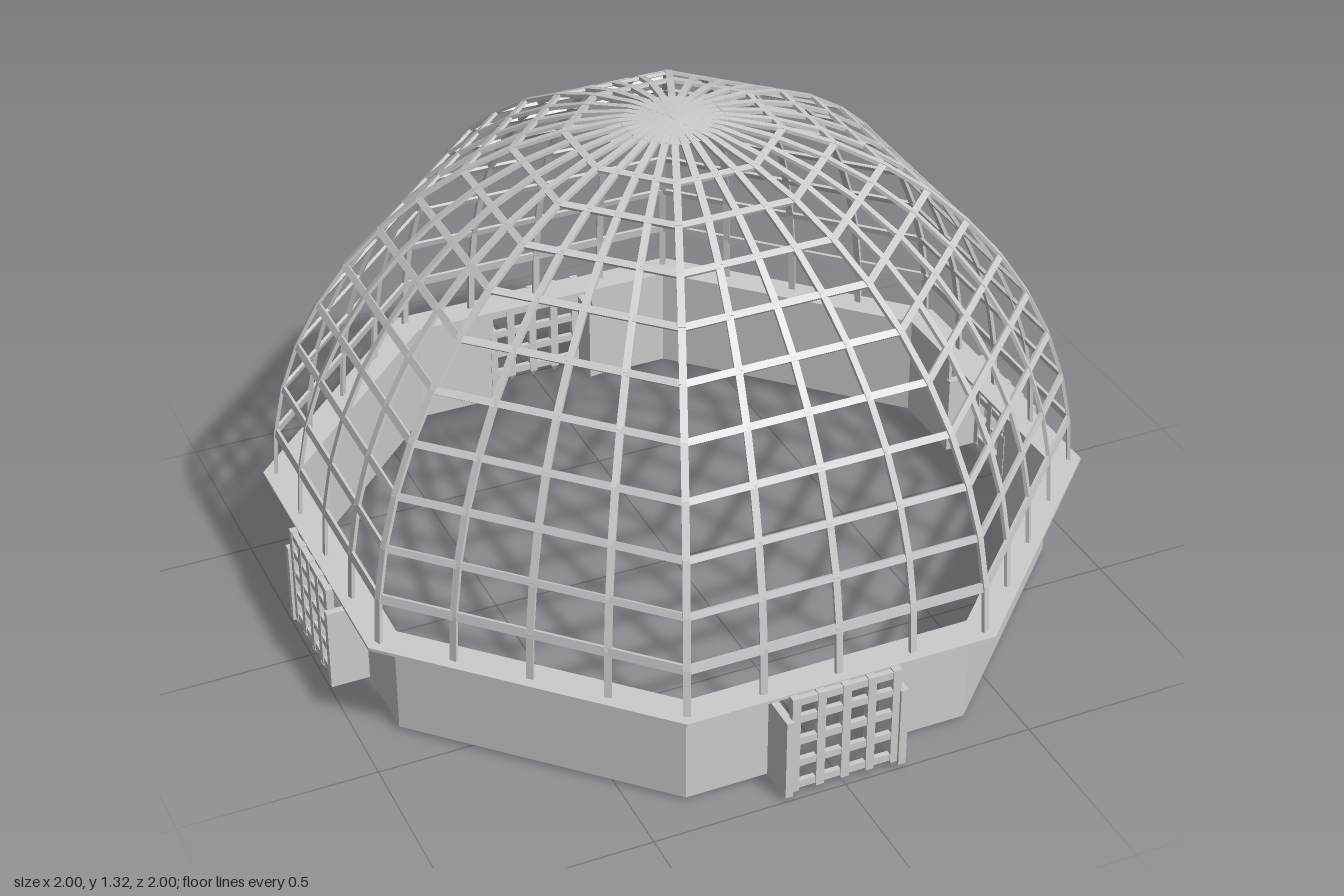
import * as THREE from 'three';
import { mergeGeometries } from 'three/addons/utils/BufferGeometryUtils.js';

const TAN = Math.tan(Math.PI / 8);
const BASE_Y = 0.29, DOME_R = 0.945, DOME_H = 1.02, STEPS = 12;
const WALL_R = 0.9, RIM_R = 0.975;

const material = new THREE.MeshStandardMaterial({ color: 0xcccccc, flatShading: true, side: THREE.DoubleSide });

function mesh(name, geometries) {
  const m = new THREE.Mesh(mergeGeometries(geometries.map(g => g.index ? g.toNonIndexed() : g)), material);
  m.name = name;
  return m;
}

// Box given by its limits on each axis
function box(x0, x1, y0, y1, z0, z1) {
  return new THREE.BoxGeometry(x1 - x0, y1 - y0, z1 - z0)
    .translate((x0 + x1) / 2, (y0 + y1) / 2, (z0 + z1) / 2);
}

// Flat bar from a to b, its thin side along the outward direction
function bar(a, b, outward, width, thickness) {
  const along = b.clone().sub(a);
  const length = along.length();
  along.normalize();
  const side = new THREE.Vector3().crossVectors(along, outward).normalize();
  const normal = new THREE.Vector3().crossVectors(side, along);
  const frame = new THREE.Matrix4().makeBasis(side, along, normal);
  frame.setPosition(a.clone().add(b).multiplyScalar(0.5));
  return new THREE.BoxGeometry(width, length, thickness).applyMatrix4(frame);
}

// Point on the octagonal dome: step down from the apex, u = -1..1 across a face
function domePoint(step, u, face) {
  const t = (step / STEPS) * Math.PI / 2;
  const r = DOME_R * Math.sin(t);
  return new THREE.Vector3(u * r * TAN, BASE_Y + DOME_H * Math.cos(t), r)
    .applyAxisAngle(new THREE.Vector3(0, 1, 0), face * Math.PI / 4);
}

function octagon(inradius, Type) {
  const points = [];
  for (let i = 0; i < 8; i++) {
    const a = (i + 0.5) * Math.PI / 4, r = inradius / Math.cos(Math.PI / 8);
    points.push(new THREE.Vector2(r * Math.cos(a), r * Math.sin(a)));
  }
  return new Type(points);
}

function createDome() {
  const ribs = [], rings = [];
  for (let face = 0; face < 8; face++) {
    // Four ribs per face, one of them on the corner
    for (const u of [-1, -0.5, 0, 0.5]) {
      for (let s = 0; s < STEPS; s++) {
        const a = domePoint(s, u, face), b = domePoint(s + 1, u, face);
        const out = a.clone().add(b).multiplyScalar(0.5);
        out.y -= BASE_Y;
        ribs.push(bar(a, b, out, 0.018, 0.009));
      }
    }
    // Horizontal bars
    for (let s = 2; s < STEPS; s++) {
      const out = domePoint(s, 0, face);
      out.y -= BASE_Y;
      rings.push(bar(domePoint(s, -1, face), domePoint(s, 1, face), out, s === 11 ? 0.024 : 0.018, 0.008));
    }
  }
  const cap = new THREE.ConeGeometry(0.125, 0.012, 32, 1, true).translate(0, 1.309, 0);
  const dome = new THREE.Group();
  dome.name = 'dome';
  dome.add(mesh('domeRibs', ribs), mesh('domeRings', rings), mesh('domeCap', [cap]));
  return dome;
}

function createGate() {
  const gate = new THREE.Group();
  gate.name = 'gate';
  const jambs = [-1, 1].map(s =>
    box(s * 0.15 - 0.01, s * 0.15 + 0.01, 0.012, 0.235, WALL_R - 0.01, 1));
  const grille = [];
  // Upright bars with pointed feet
  for (let i = -2; i <= 2; i++) {
    const x = i * 0.066;
    grille.push(box(x - 0.011, x + 0.011, 0.02, 0.295, 0.975, 0.993));
    grille.push(new THREE.ConeGeometry(0.0145, 0.02, 4, 1)
      .rotateX(Math.PI).rotateY(Math.PI / 4).translate(x, 0.01, 0.984));
  }
  // Cross bars
  for (const y of [0.035, 0.1, 0.165, 0.23, 0.282]) {
    grille.push(box(-0.143, 0.143, y - 0.01, y + 0.01, 0.977, 0.991));
  }
  gate.add(mesh('gateJambs', jambs), mesh('gateGrille', grille));
  return gate;
}

export function createModel() {
  const model = new THREE.Group();
  model.name = 'octagonalDomeArena';

  // Wall panels; every second one is open in the middle for a gate
  const panels = [];
  const half = WALL_R * TAN;
  for (let face = 0; face < 8; face++) {
    const spans = face % 2 ? [[-half, half]] : [[-half, -0.15], [0.15, half]];
    for (const [x0, x1] of spans) {
      panels.push(box(x0, x1, 0.012, BASE_Y, WALL_R - 0.008, WALL_R).rotateY(face * Math.PI / 4));
    }
  }
  model.add(mesh('wall', panels));

  // Flat rim on top of the wall
  const rimShape = octagon(RIM_R, THREE.Shape);
  rimShape.holes.push(octagon(WALL_R - 0.008, THREE.Path));
  const rim = new THREE.ExtrudeGeometry(rimShape, { depth: 0.008, bevelEnabled: false })
    .rotateX(-Math.PI / 2).translate(0, BASE_Y, 0);
  model.add(mesh('rim', [rim]));

  for (let i = 0; i < 4; i++) {
    const gate = createGate();
    gate.rotation.y = i * Math.PI / 2;
    model.add(gate);
  }

  model.add(createDome());
  return model;
}
